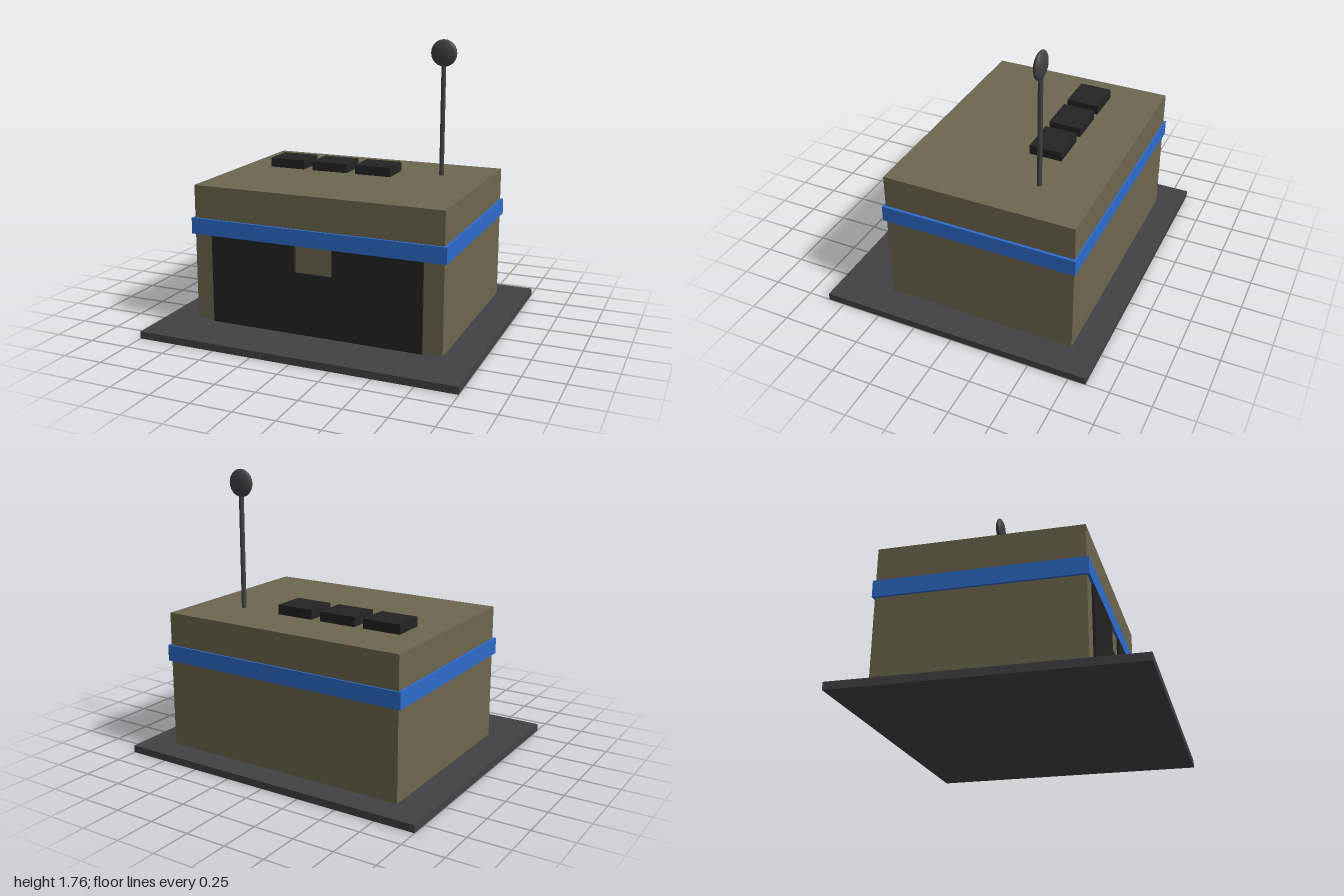
import * as THREE from 'three';

const paint = (name, color) => {
  const m = new THREE.MeshStandardMaterial({ color });
  m.name = name;
  return m;
};

export function createModel() {
  const khaki = paint('khaki', 0x6e664e);
  const blue = paint('blue', 0x2d6bcb);
  const charcoal = paint('charcoal', 0x424146);
  const black = paint('black', 0x232323);

  const model = new THREE.Group();
  model.name = 'kiosk';

  const add = (name, geometry, material, x = 0, y = 0, z = 0) => {
    const mesh = new THREE.Mesh(geometry, material);
    mesh.name = name;
    mesh.position.set(x, y, z);
    model.add(mesh);
    return mesh;
  };
  // Box given by its lower and upper limits on each axis
  const box = (name, material, [x0, x1], [y0, y1], [z0, z1]) =>
    add(name, new THREE.BoxGeometry(x1 - x0, y1 - y0, z1 - z0), material,
      (x0 + x1) / 2, (y0 + y1) / 2, (z0 + z1) / 2);

  // Ground slab, building and the band around it
  box('baseSlab', charcoal, [-1, 1], [0, 0.045], [-0.857, 0.857]);
  box('building', khaki, [-0.8, 0.8], [0.045, 0.9], [-0.69, 0.512]);
  box('band', blue, [-0.818, 0.818], [0.595, 0.695], [-0.702, 0.528]);

  // Dark front opening with a notch at the top centre
  const opening = new THREE.Shape([
    [-0.68, 0.045], [0.68, 0.045], [0.68, 0.6], [0.12, 0.6],
    [0.12, 0.43], [-0.12, 0.43], [-0.12, 0.6], [-0.68, 0.6],
  ].map(([x, y]) => new THREE.Vector2(x, y)));
  add('frontOpening', new THREE.ExtrudeGeometry(opening, { depth: 0.017, bevelEnabled: false }),
    black, 0, 0, 0.51);

  // Row of roof units
  for (const x of [-0.5, -0.2, 0.1]) {
    box('roofUnit', black, [x - 0.12, x + 0.12], [0.9, 0.96], [-0.365, -0.158]);
  }

  // Mast with a flattened dish
  add('mast', new THREE.CylinderGeometry(0.015, 0.015, 0.75, 12), charcoal, 0.5, 1.275, -0.345);
  const dish = add('dish', new THREE.SphereGeometry(0.085, 16, 12), charcoal, 0.5, 1.675, -0.345);
  dish.scale.z = 0.33;

  return model;
}
